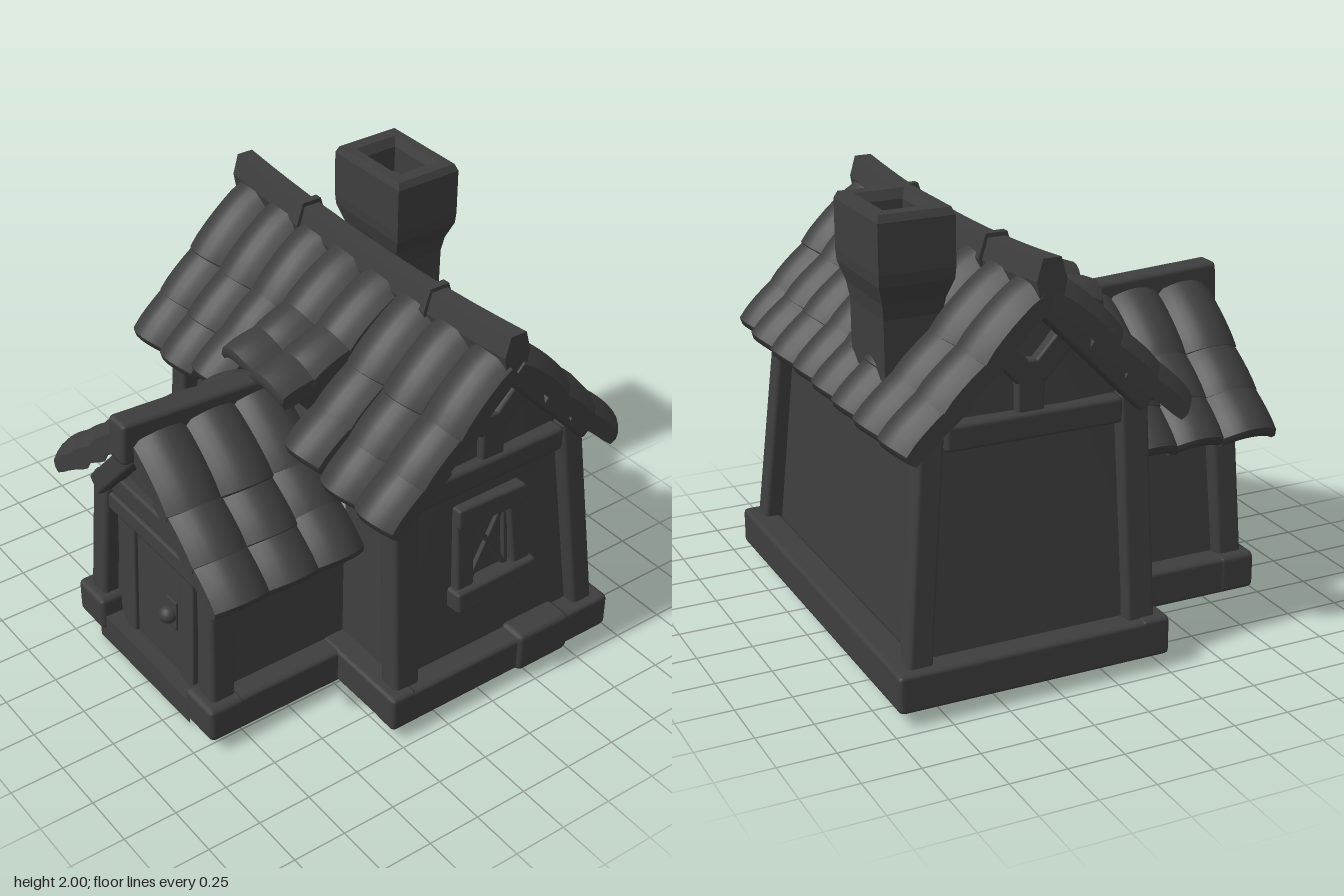
import * as THREE from 'three';
import { RoundedBoxGeometry } from 'three/addons/geometries/RoundedBoxGeometry.js';

const material = new THREE.MeshStandardMaterial({ color: 0x3e3e3e, side: THREE.DoubleSide });
const V = (x, y, z) => new THREE.Vector3(x, y, z);
const wobble = (n) => Math.sin(n * 12.9898 + 4.1) * Math.cos(n * 7.233);

function add(parent, name, geometry) {
  const mesh = new THREE.Mesh(geometry, material);
  mesh.name = name;
  parent.add(mesh);
  return mesh;
}

// Points a mesh's z axis from a to b, keeping its x axis level
function place(mesh, a, b) {
  const d = b.clone().sub(a).normalize();
  const up = Math.abs(d.y) > 0.95 ? V(0, 0, 1) : V(0, 1, 0);
  const side = up.cross(d).normalize();
  const normal = d.clone().cross(side);
  mesh.quaternion.setFromRotationMatrix(new THREE.Matrix4().makeBasis(side, normal, d));
  mesh.position.copy(a).add(b).multiplyScalar(0.5);
}

// Timber or stone with softened edges; upright ones have w along x and h along z
function beam(parent, name, a, b, w, h) {
  const r = Math.min(w, h) * 0.18;
  place(add(parent, name, new RoundedBoxGeometry(w, h, a.distanceTo(b), 1, r)), a, b);
}

function block(parent, name, x0, x1, y0, y1, z0, z1) {
  const r = Math.min(x1 - x0, y1 - y0, z1 - z0) * 0.15;
  const mesh = add(parent, name, new RoundedBoxGeometry(x1 - x0, y1 - y0, z1 - z0, 1, r));
  mesh.position.set((x0 + x1) / 2, (y0 + y1) / 2, (z0 + z1) / 2);
}

// Flat convex wall
function panel(parent, name, points) {
  const g = new THREE.BufferGeometry().setFromPoints(points);
  const index = [];
  for (let i = 1; i < points.length - 1; i++) index.push(0, i, i + 1);
  g.setIndex(index);
  g.computeVertexNormals();
  add(parent, name, g);
}

// Thick arched tile running down the slope from a to b, thinning at its ends
function tile(parent, a, b, width, seed) {
  const length = a.distanceTo(b);
  const g = new THREE.BoxGeometry(width, 0.075, length, 8, 2, 6);
  const p = g.attributes.position;
  for (let i = 0; i < p.count; i++) {
    const u = (2 * p.getX(i)) / width, t = p.getZ(i) / length + 0.5, v = p.getY(i) / 0.0375;
    const end = Math.pow(Math.abs(2 * t - 1), 6);
    const arch = 0.065 * (1 - u * u) - 0.03;
    p.setY(i, p.getY(i) * (1 - 0.2 * end) + arch + 0.01 * Math.sin(Math.PI * t));
    p.setX(i, p.getX(i) * (0.98 + 0.04 * t));
    p.setZ(i, p.getZ(i) + t * (0.02 * (1 - u * u) - 0.012 * v * v + 0.015 * wobble(seed)));
  }
  g.computeVertexNormals();
  place(add(parent, 'roofTile', g), a, b);
}

// Three equal, overlapping tiles down one column; lift sweeps the eave upward
function tileColumn(parent, top, eave, width, lift, seed) {
  const at = (t, dy) => {
    const q = top.clone().lerp(eave, t);
    q.y += lift * t * t + dy;
    return q;
  };
  [0.45, 0.74, 1].forEach((end, r) => {
    const j = 0.012 * wobble(seed * 3 + r);
    tile(parent, at(end - 0.45, r ? -0.025 : 0), at(end, 0.012 + j), width, seed * 3 + r);
  });
}

// Tapered, bottomless walls; gables face x (main) or z (porch)
function buildWalls(root) {
  for (const s of [-1, 1]) {
    panel(root, 'sideWall', [V(s * 0.85, 0.1, 0.17), V(s * 0.85, 0.1, -0.83), V(s * 0.77, 1.2, -0.74),
      V(s * 0.77, 1.66, -0.31), V(s * 0.77, 1.2, 0.12)]);
    panel(root, 'porchSideWall', [V(s * 0.45, 0.1, 0.84), V(s * 0.45, 0.1, 0.16), V(s * 0.4, 0.86, 0.13), V(s * 0.4, 0.86, 0.8)]);
    panel(root, 'frontWall', [V(s * 0.85, 0.1, 0.17), V(s * 0.44, 0.1, 0.17), V(s * 0.4, 1.2, 0.12), V(s * 0.77, 1.2, 0.12)]);
  }
  panel(root, 'backWall', [V(-0.85, 0.1, -0.83), V(0.85, 0.1, -0.83), V(0.77, 1.2, -0.74), V(-0.77, 1.2, -0.74)]);
  panel(root, 'porchFrontWall', [V(-0.45, 0.1, 0.83), V(0.45, 0.1, 0.83), V(0.4, 0.86, 0.79), V(0, 1.27, 0.79), V(-0.4, 0.86, 0.79)]);
}

// Plinth stones around the foot of the walls
function buildFoundation(root) {
  block(root, 'backFoundation', -0.95, 0.95, 0.06, 0.23, -0.96, -0.82);
  for (const s of [-1, 1]) {
    const span = (name, a, b, ...rest) => block(root, name, Math.min(s * a, s * b), Math.max(s * a, s * b), ...rest);
    span('sideFoundation', 0.82, 0.95, 0.06, 0.23, -0.95, 0.27);
    span('frontFoundation', 0.42, 0.95, 0.065, 0.235, 0.14, 0.27);
    span('porchFoundation', 0.42, 0.55, 0.06, 0.23, 0.15, 0.935);
    span('porchCornerStone', 0.345, 0.555, 0.06, 0.235, 0.76, 0.94);
  }
  beam(root, 'sideStone', V(0.9, 0.155, -0.71), V(0.9, 0.155, -0.42), 0.14, 0.2);
  panel(root, 'doorStepRiser', [V(-0.4, 0, 0.92), V(0.35, 0.015, 0.92), V(0.35, 0.14, 0.92), V(-0.4, 0.14, 0.92)]);
  panel(root, 'doorStepTread', [V(-0.4, 0.14, 0.92), V(0.35, 0.14, 0.92), V(0.35, 0.14, 0.8), V(-0.4, 0.14, 0.8)]);
}

function buildTimbers(root) {
  for (const s of [-1, 1]) {
    beam(root, 'frontPost', V(s * 0.86, 0.07, 0.16), V(s * 0.78, 1.22, 0.14), 0.11, 0.13);
    beam(root, 'backPost', V(s * 0.86, 0.07, -0.86), V(s * 0.78, 1.22, -0.75), 0.11, 0.11);
    beam(root, 'porchPost', V(s * 0.455, 0.07, 0.845), V(s * 0.41, 0.88, 0.805), 0.12, 0.12);
    beam(root, 'gableBeam', V(s * 0.79, 1.15, 0.085), V(s * 0.79, 1.15, -0.7), 0.11, 0.115);
    beam(root, 'porchPlate', V(s * 0.41, 0.85, 0.84), V(s * 0.41, 0.85, 0.14), 0.07, 0.07);
    // King post with two arms in the gable
    beam(root, 'gablePost', V(s * 0.79, 1.18, -0.32), V(s * 0.79, 1.42, -0.32), 0.07, 0.12);
    for (const t of [-1, 1]) {
      beam(root, 'gableBrace', V(s * 0.79, 1.35, -0.315 + t * 0.02), V(s * 0.79, 1.5, -0.315 + t * 0.16), 0.07, 0.1);
      beam(root, 'bargeBoard', V(s * 0.85, 1.66, -0.31 + t * 0.02), V(s * 0.85, 1.18, -0.31 + t * 0.49), 0.09, 0.1);
    }
    for (const z of [0.85, 0.26])
      beam(root, 'porchBargeBoard', V(s * 0.015, 1.27, z), V(s * 0.42, 0.83, z), 0.09, 0.1);
  }
  beam(root, 'frontBeam', V(-0.76, 1.14, 0.13), V(0.76, 1.14, 0.13), 0.08, 0.11);
  beam(root, 'backBeam', V(-0.76, 1.14, -0.75), V(0.76, 1.14, -0.75), 0.08, 0.11);
  beam(root, 'porchBeam', V(-0.38, 0.865, 0.795), V(0.38, 0.865, 0.795), 0.09, 0.11);
}

// Six-sided bar along x that sags in the middle
function ridgeBar(parent, name, length, height, width, x, y) {
  const bar = new THREE.BoxGeometry(length, height, width, 12, 2, 1);
  const p = bar.attributes.position;
  for (let i = 0; i < p.count; i++) {
    const py = p.getY(i);
    p.setZ(i, p.getZ(i) * (py > 0.01 ? 0.6 : py < -0.01 ? 0.75 : 1));
    p.setY(i, py + 0.055 * p.getX(i) ** 2);
  }
  const flat = bar.toNonIndexed();
  flat.computeVertexNormals();
  add(parent, name, flat).position.set(x, y, -0.305);
}

function buildRoofs(root) {
  const main = new THREE.Group();
  main.name = 'mainRoof';
  const lifts = [0, 0, 0.05, 0.26, 0.26, 0.05, 0, 0];
  for (let i = 0; i < 8; i++) {
    const x = -0.845 + i * 0.24, reach = 0.015 * wobble(i + 2);
    tileColumn(main, V(x, 1.725, -0.275), V(x, 1.145, 0.325 + reach), 0.246, lifts[i], i + 1);
    tileColumn(main, V(x, 1.725, -0.335), V(x, 1.145, -0.925 - reach), 0.246, 0, i + 11);
  }
  ridgeBar(main, 'ridgeBeam', 1.91, 0.18, 0.13, -0.01, 1.73);
  for (const x of [-0.46, 0.435]) ridgeBar(main, 'ridgeBand', 0.034, 0.2, 0.16, x, 1.75);

  const porch = new THREE.Group();
  porch.name = 'porchRoof';
  [0.82, 0.57, 0.34].forEach((z, i) => {
    for (const s of [-1, 1])
      tileColumn(porch, V(s * 0.045, 1.345, z), V(s * 0.655, 0.835, z), 0.265, 0, i * 2 + s + 30);
  });
  beam(porch, 'porchRidge', V(0, 1.355, 1.0), V(0, 1.315, 0.2), 0.12, 0.2);
  root.add(main, porch);
}

// Square flue that widens upward, hollow at the top
function buildChimney(root) {
  const profile = [[0.76, 1.3], [0.77, 1.56], [0.83, 1.63], [0.98, 1.71], [1, 1.76], [1, 1.97], [0.93, 2], [0.66, 2], [0.56, 1.96], [0.56, 1.84], [0, 1.84]];
  const lathe = new THREE.LatheGeometry(profile.map(([r, y]) => new THREE.Vector2(r * Math.SQRT2, y)), 4, Math.PI / 4);
  lathe.scale(0.23, 1, 0.165);
  const g = lathe.toNonIndexed();
  g.computeVertexNormals();
  add(root, 'chimney', g).position.set(-0.34, 0, -0.69);
}

function buildDoor(root) {
  const door = new THREE.Group();
  door.name = 'door';
  block(door, 'doorLeaf', -0.185, 0.185, 0.13, 0.73, -0.02, 0.025);
  for (const s of [-1, 1]) {
    block(door, 'doorJamb', s * 0.235 - 0.05, s * 0.235 + 0.05, 0.13, 0.73, -0.02, 0.04);
    block(door, 'outerJamb', s * 0.325 - 0.04, s * 0.325 + 0.04, 0.13, 0.73, -0.02, 0.015);
  }
  block(door, 'doorLintel', -0.37, 0.36, 0.72, 0.81, -0.03, 0.06);
  block(door, 'handlePlate', 0.065, 0.145, 0.36, 0.51, 0.01, 0.035);
  add(door, 'doorKnob', new THREE.SphereGeometry(0.042, 14, 10)).position.set(0.105, 0.435, 0.05);
  door.position.z = 0.825;
  door.rotation.x = -0.04;
  root.add(door);
}

function buildWindow(root) {
  const win = new THREE.Group();
  win.name = 'window';
  beam(win, 'windowHead', V(0.02, 0.23, 0.19), V(0.02, 0.22, -0.18), 0.08, 0.1);
  beam(win, 'windowSill', V(0.025, -0.19, 0.21), V(0.025, -0.18, -0.23), 0.1, 0.11);
  beam(win, 'windowSide', V(0.01, -0.16, 0.145), V(0.01, 0.2, 0.145), 0.07, 0.09);
  beam(win, 'windowSide', V(0.01, -0.16, -0.17), V(0.01, 0.2, -0.14), 0.07, 0.09);
  for (const s of [-1, 1]) {
    beam(win, 'windowCross', V(0.005, -0.14, -s * 0.1), V(0.005, 0.18, s * 0.09), 0.025, 0.022);
    beam(win, 'windowBead', V(0.005, -0.14, s * 0.1), V(0.005, 0.18, s * 0.095), 0.025, 0.02);
  }
  win.position.set(0.81, 0.73, -0.32);
  win.rotation.z = 0.073;
  root.add(win);
}

export function createModel() {
  const root = new THREE.Group();
  root.name = 'cottage';
  for (const build of [buildWalls, buildFoundation, buildTimbers, buildRoofs, buildChimney, buildDoor, buildWindow]) build(root);
  return root;
}
